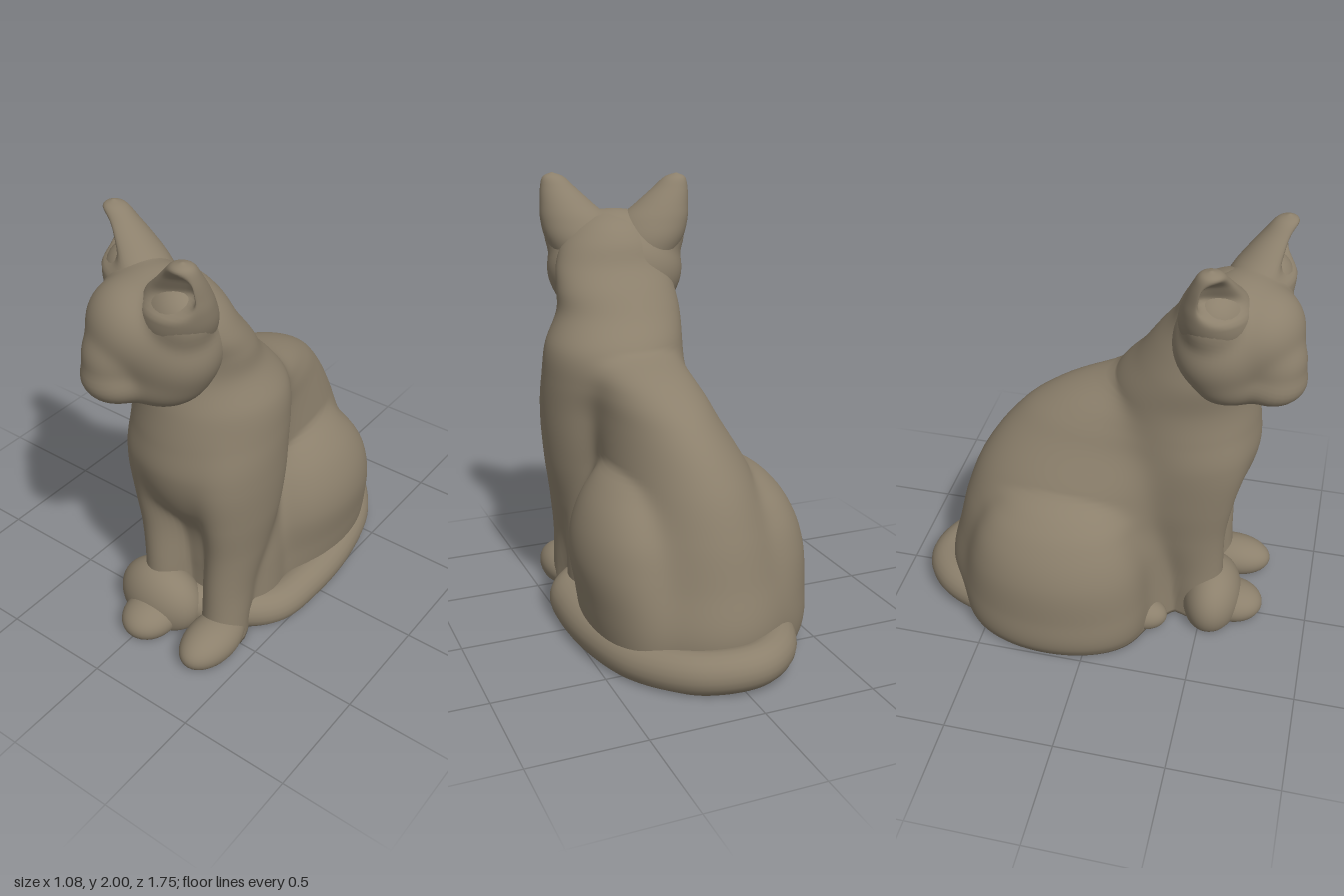
import * as THREE from 'three';
import { mergeVertices } from 'three/addons/utils/BufferGeometryUtils.js';

const { smoothstep, lerp } = THREE.MathUtils;
const clay = new THREE.MeshStandardMaterial({ color: 0x8c806c });
clay.name = 'clay';

function part(parent, name, geometry) {
  const mesh = new THREE.Mesh(geometry, clay);
  mesh.name = name;
  parent.add(mesh);
}

// Weld seams, flatten whatever falls below the ground, smooth the normals
function finish(geometry) {
  geometry.deleteAttribute('uv');
  geometry.deleteAttribute('normal');
  const p = geometry.attributes.position;
  for (let i = 0; i < p.count; i++) p.setY(i, Math.max(0, p.getY(i)));
  const welded = mergeVertices(geometry, 1e-5);
  welded.computeVertexNormals();
  return welded;
}

function ellipsoid(x, y, z, rx, ry, rz) {
  return finish(new THREE.SphereGeometry(1, 40, 28).scale(rx, ry, rz).translate(x, y, z));
}

// Distance along a ray to where the softly summed field drops below 1
const soft = (d) => Math.exp(-9 * (d - 1));
function reach(field, max) {
  let lo = 0, hi = max;
  for (let k = 0; k < 20; k++) {
    const mid = (lo + hi) / 2;
    if (field(mid) > 1) lo = mid;
    else hi = mid;
  }
  return lo;
}

// Closed skin over rows of n points, listed upwards; side = -1 flips the faces
function skin(rows, n, side = 1) {
  const pos = rows.flat(2), index = [], last = rows.length - 1;
  const face = (a, b, c) => index.push(a, ...(side > 0 ? [b, c] : [c, b]));
  const middle = (row) => [0, 1, 2].map((k) => row.reduce((sum, p) => sum + p[k], 0) / n);
  const bottom = pos.length / 3, top = bottom + 1;
  pos.push(...middle(rows[0]), ...middle(rows[last]));
  for (let j = 0; j < n; j++) {
    const k = (j + 1) % n;
    face(bottom, j, k);
    face(top, last * n + k, last * n + j);
    for (let i = 0; i < last; i++) {
      const a = i * n + j, b = i * n + k;
      face(a, a + n, b);
      face(b, a + n, b + n);
    }
  }
  const g = new THREE.BufferGeometry();
  g.setAttribute('position', new THREE.Float32BufferAttribute(pos, 3));
  g.setIndex(index);
  g.computeVertexNormals();
  return g;
}

// Sections are [y, centre x, centre z, radius x, radius z], lowest first
function ear(sections, side) {
  const n = 48, rows = [];
  const spline = new THREE.CubicInterpolant(sections.map((_, i) => i), sections.flat(), 5);
  for (let i = 0; i <= (sections.length - 1) * 6; i++) {
    const [y, cx, cz, rx, rz] = spline.evaluate(i / 6);
    const hollow = 1.1 * rz * smoothstep(y, 1.76, 1.86) * (1 - smoothstep(y, 1.91, 1.98));
    rows.push(Array.from({ length: n }, (_, j) => {
      const t = (j / n) * Math.PI * 2;
      const dent = hollow * Math.max(0, Math.cos(t - 1.1)) ** 4;
      return [side * (cx + rx * Math.cos(t)), y, cz + rz * Math.sin(t) - dent];
    }));
  }
  return skin(rows, n, side);
}

// One skin over several stacks of ellipses, melted together level by level
function melt(stacks, height, centreZ) {
  const n = 180, levels = 100, rows = [];
  const splines = stacks.map((s) => ({
    top: s.at(-1)[0],
    curve: new THREE.CubicInterpolant(s.map((v) => v[0]), s.map((v) => v.slice(1)).flat(), 4),
  }));
  for (let i = 0; i <= levels; i++) {
    const y = (height * i) / levels, z0 = centreZ(y), x0 = 0.13;
    const ellipses = splines.filter((s) => y <= s.top).map((s) => Array.from(s.curve.evaluate(y)));
    rows.push(Array.from({ length: n }, (_, j) => {
      const t = (j / n) * Math.PI * 2, c = Math.cos(t), s = Math.sin(t);
      const r = reach((m) => ellipses.reduce((sum, [cx, cz, rx, rz]) => sum + soft(Math.hypot(
        (x0 + m * c - cx) / Math.max(rx, 0.004), (z0 + m * s - cz) / Math.max(rz, 0.004))), 0), 1.3);
      return [x0 + r * c, y, z0 + r * s];
    }));
  }
  return skin(rows, n);
}

// Sphere pushed out along its rays to the skin of softly blended ellipsoids
function blend(origin, blobs) {
  const g = new THREE.SphereGeometry(1, 72, 52);
  const p = g.attributes.position, d = new THREE.Vector3(), q = new THREE.Vector3();
  for (let i = 0; i < p.count; i++) {
    d.fromBufferAttribute(p, i);
    const r = reach((m) => {
      q.copy(origin).addScaledVector(d, m);
      return blobs.reduce((sum, [x, y, z, rx, ry, rz]) =>
        sum + soft(Math.hypot((q.x - x) / rx, (q.y - y) / ry, (q.z - z) / rz)), 0);
    }, 0.8);
    q.copy(origin).addScaledVector(d, r);
    p.setXYZ(i, q.x, q.y, q.z);
  }
  return finish(g);
}

export function createModel() {
  const cat = new THREE.Group();
  cat.name = 'sittingCat';

  const rump = [
    [0, 0, -0.2, 0.43, 0.53], [0.2, 0, -0.22, 0.42, 0.535], [0.4, 0, -0.2, 0.39, 0.51],
    [0.6, 0.01, -0.17, 0.35, 0.49], [0.8, 0.03, -0.1, 0.305, 0.48], [1.0, 0.07, 0.02, 0.25, 0.46],
    [1.1, 0.09, 0.09, 0.23, 0.42], [1.19, 0.11, 0.17, 0.2, 0.33], [1.24, 0.12, 0.24, 0.16, 0.24],
    [1.28, 0.12, 0.28, 0.05, 0.08],
  ];
  const chestAndNeck = [
    [0, 0.15, 0.24, 0.265, 0.21], [0.3, 0.15, 0.25, 0.265, 0.21], [0.55, 0.14, 0.28, 0.265, 0.22],
    [0.75, 0.14, 0.35, 0.29, 0.28], [0.95, 0.14, 0.37, 0.325, 0.32], [1.1, 0.145, 0.345, 0.33, 0.335],
    [1.25, 0.14, 0.34, 0.32, 0.32], [1.4, 0.1, 0.385, 0.29, 0.255], [1.5, 0.1, 0.42, 0.28, 0.22],
    [1.6, 0.095, 0.48, 0.265, 0.205], [1.72, 0.085, 0.53, 0.21, 0.195], [1.79, 0.08, 0.55, 0.13, 0.14],
    [1.82, 0.08, 0.56, 0.06, 0.07],
  ];
  const leftHaunch = [
    [0, 0.3, -0.22, 0.14, 0.35], [0.1, 0.3, -0.22, 0.17, 0.37], [0.25, 0.3, -0.22, 0.2, 0.375],
    [0.45, 0.31, -0.2, 0.217, 0.36], [0.6, 0.31, -0.19, 0.187, 0.315], [0.72, 0.29, -0.17, 0.14, 0.24],
    [0.79, 0.27, -0.15, 0.085, 0.16], [0.84, 0.25, -0.13, 0.01, 0.02],
  ];
  const rightHaunch = [
    [0, -0.28, -0.17, 0.2, 0.37], [0.07, -0.29, -0.17, 0.235, 0.395], [0.25, -0.29, -0.17, 0.245, 0.4],
    [0.45, -0.29, -0.17, 0.235, 0.38], [0.6, -0.28, -0.17, 0.192, 0.33], [0.7, -0.25, -0.16, 0.155, 0.27],
    [0.77, -0.22, -0.15, 0.1, 0.18], [0.82, -0.19, -0.13, 0.01, 0.02],
  ];
  // Front legs mirror each other about x = 0.15
  const frontLeg = (side) => [
    [0, 0.165, 0.49, 0.1, 0.12], [0.15, 0.165, 0.47, 0.1, 0.12], [0.3, 0.165, 0.45, 0.102, 0.133],
    [0.5, 0.175, 0.41, 0.115, 0.172], [0.7, 0.183, 0.385, 0.132, 0.22], [0.9, 0.18, 0.375, 0.14, 0.24],
    [1.08, 0.17, 0.36, 0.125, 0.21], [1.2, 0.15, 0.35, 0.09, 0.15], [1.27, 0.13, 0.35, 0.02, 0.03],
  ].map(([y, x, ...rest]) => [y, 0.15 + side * x, ...rest]);

  // Rump, chest, neck, haunches and front legs as one smooth skin
  part(cat, 'torsoAndLegs', melt(
    [rump, chestAndNeck, leftHaunch, rightHaunch, frontLeg(1), frontLeg(-1)], 1.82,
    (y) => lerp(lerp(0.1, 0.345, smoothstep(y, 0.75, 1.2)), 0.55, smoothstep(y, 1.3, 1.75)),
  ));

  // Paws
  part(cat, 'leftFrontPaw', ellipsoid(0.33, 0.06, 0.595, 0.115, 0.1, 0.19));
  part(cat, 'rightFrontPaw', ellipsoid(0.01, 0.055, 0.635, 0.125, 0.095, 0.15));
  part(cat, 'rightHindPaw', ellipsoid(-0.18, 0.06, 0.23, 0.085, 0.08, 0.12));

  // Tail wrapped round the left side, its tip resting on the right paw
  const tailPath = new THREE.CatmullRomCurve3([
    [-0.28, 0.1, -0.4], [-0.26, 0.1, -0.56], [-0.18, 0.1, -0.71], [-0.05, 0.095, -0.787], [0.16, 0.08, -0.735],
    [0.34, 0.07, -0.54], [0.43, 0.068, -0.25], [0.445, 0.06, 0.05], [0.41, 0.055, 0.26], [0.26, 0.07, 0.4],
    [0.05, 0.1, 0.52],
  ].map((p) => new THREE.Vector3(...p)));
  part(cat, 'tail', finish(new THREE.TubeGeometry(tailPath, 100, 0.093, 20)));
  part(cat, 'tailTip', ellipsoid(-0.005, 0.095, 0.54, 0.21, 0.185, 0.14));

  // Head, turned a little to the cat's right
  const head = new THREE.Group();
  head.name = 'head';
  head.position.set(0.087, 0, 0.48);
  head.rotation.y = -0.42;
  cat.add(head);
  part(head, 'skullAndMuzzle', blend(new THREE.Vector3(0, 1.56, 0.1), [
    [0, 1.56, 0.07, 0.32, 0.25, 0.23],
    [0, 1.62, 0.2, 0.19, 0.18, 0.165],
    [0, 1.5, 0.28, 0.13, 0.13, 0.12],
    [0, 1.41, 0.275, 0.145, 0.1, 0.135],
    [0, 1.41, 0.1, 0.24, 0.135, 0.19],
    [0, 1.72, 0.09, 0.17, 0.11, 0.14],
    [0.19, 1.73, 0.08, 0.14, 0.13, 0.12],
    [-0.19, 1.73, 0.08, 0.14, 0.13, 0.12],
  ]));

  // Ears with hollow fronts
  for (const side of [1, -1]) {
    part(head, side > 0 ? 'leftEar' : 'rightEar', ear([
      [1.58, 0.13, 0.06, 0.13, 0.14], [1.7, 0.155, 0.07, 0.17, 0.15], [1.79, 0.185, 0.08, 0.163, 0.13],
      [1.86, 0.225, 0.09, 0.125, 0.103], [1.93, 0.264, 0.103, 0.084, 0.072], [1.98, 0.286, 0.112, 0.05, 0.046],
      [2.0, 0.293, 0.115, 0.005, 0.005],
    ], side));
  }
  return cat;
}
